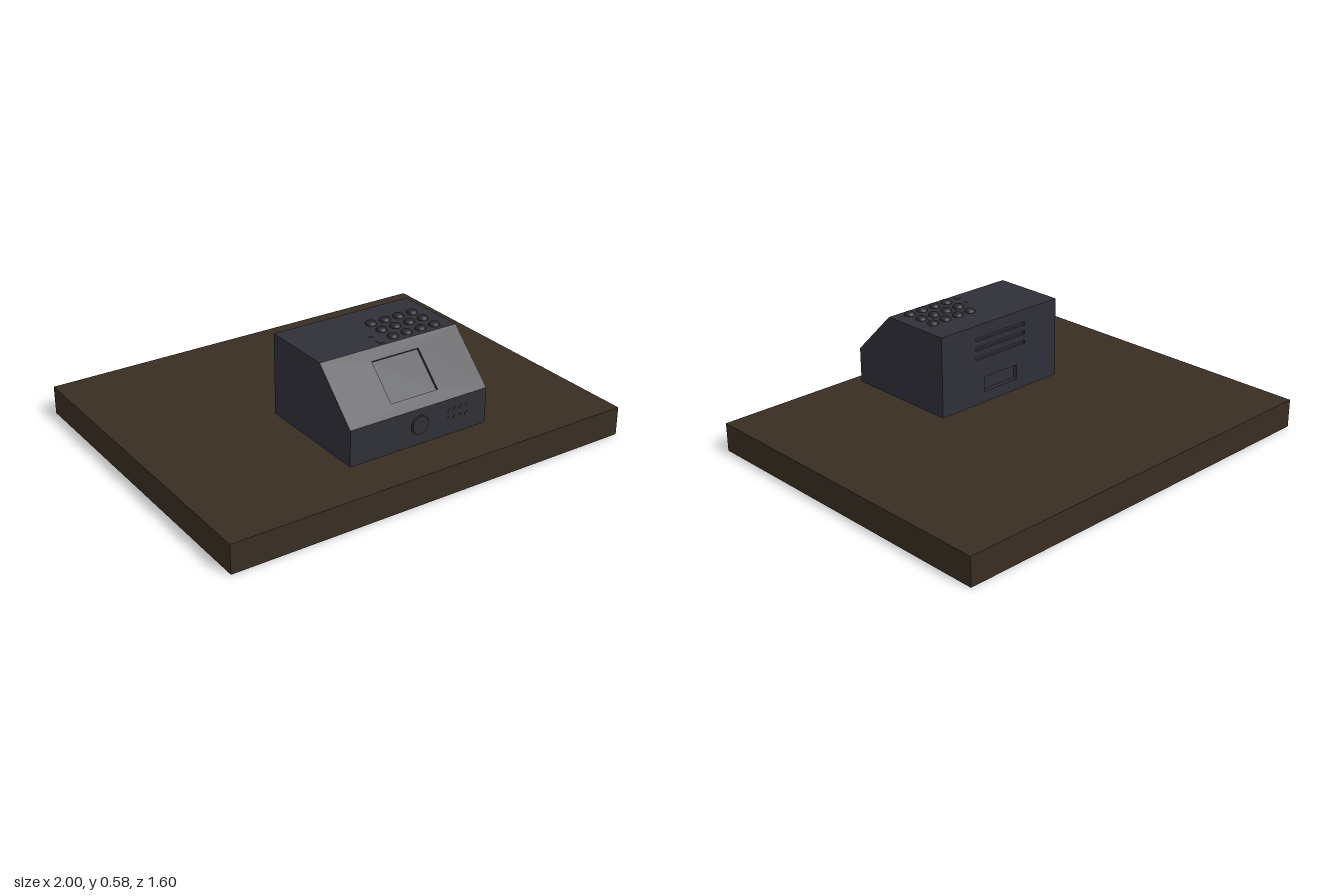
import * as THREE from 'three';

const mat = (name, color, side = THREE.FrontSide) => {
  const m = new THREE.MeshStandardMaterial({ color, side });
  m.name = name;
  return m;
};

export function createModel() {
  const wood = mat('dark wood', 0x382d23);
  const shell = mat('charcoal shell', 0x2f2f38);
  const glass = mat('dark glass', 0x2c2d33);
  const rubber = mat('black rubber', 0x26282b);

  const root = new THREE.Group();
  root.name = 'deskUnit';
  const add = (name, geo, material, parent, x = 0, y = 0, z = 0) => {
    const m = new THREE.Mesh(geo, material);
    m.name = name;
    m.position.set(x, y, z);
    parent.add(m);
    return m;
  };

  // Inward-facing box without its front side
  const pocketGeometry = (w, h, d) => {
    const g = new THREE.BoxGeometry(w, h, d);
    const idx = Array.from(g.index.array).filter((_, i) => i < 24 || i >= 30).reverse();
    g.setIndex(idx);
    g.clearGroups();
    const out = g.toNonIndexed();
    out.computeVertexNormals();
    return out;
  };

  // Flat panel facing +z, with rectangular pockets {x, y, w, h, d} and an optional round hole
  const panel = (name, w, h, pockets = [], hole = null) => {
    const group = new THREE.Group();
    group.name = name;
    const rect = (path, x, y, a, b) => path.moveTo(x - a / 2, y - b / 2).lineTo(x + a / 2, y - b / 2)
      .lineTo(x + a / 2, y + b / 2).lineTo(x - a / 2, y + b / 2).closePath();
    const s = rect(new THREE.Shape(), 0, 0, w, h);
    for (const p of pockets) {
      s.holes.push(rect(new THREE.Path(), p.x, p.y, p.w, p.h));
      add(p.name, pocketGeometry(p.w, p.h, p.d), p.material || shell, group, p.x, p.y, -p.d / 2);
    }
    if (hole) s.holes.push(new THREE.Path().absarc(hole.x, hole.y, hole.r, 0, Math.PI * 2, true));
    add(name + 'Face', new THREE.ShapeGeometry(s, 24), shell, group);
    return group;
  };
  const place = (group, x, y, z, rx = 0, ry = 0) => {
    group.position.set(x, y, z);
    group.rotation.set(rx, ry, 0);
    body.add(group);
  };

  // Table slab
  add('tableSlab', new THREE.BoxGeometry(2, 0.135, 1.6), wood, root, 0, 0.0675, 0);

  // Housing dimensions
  const W = 0.7, bottom = 0.187, knee = 0.353, top = 0.567;
  const back = 0.08, shoulder = 0.43, front = 0.65;
  const body = new THREE.Group();
  body.name = 'housing';
  root.add(body);

  // Side panels
  const profile = new THREE.Shape([
    [back, bottom], [front, bottom], [front, knee], [shoulder, top], [back, top],
  ].map(([z, y]) => new THREE.Vector2(-z, y)));
  add('leftSide', new THREE.ShapeGeometry(profile), shell, body, W / 2).rotation.y = Math.PI / 2;
  const mirrored = new THREE.Shape(profile.getPoints().map((p) => new THREE.Vector2(-p.x, p.y)));
  add('rightSide', new THREE.ShapeGeometry(mirrored), shell, body, -W / 2).rotation.y = -Math.PI / 2;

  // Front panel with a round opening for the dial
  const frontY = (bottom + knee) / 2, dialY = 0.278;
  place(panel('frontPanel', W, knee - bottom, [], { x: 0, y: dialY - frontY, r: 0.044 }), 0, frontY, front);

  // Sloped panel with the recessed screen
  const rise = top - knee, run = front - shoulder, slope = Math.hypot(rise, run);
  place(panel('slopedPanel', W, slope, [
    { name: 'screen', x: 0, y: 0, w: 0.24, h: 0.195, d: 0.012, material: glass },
  ]), 0, (knee + top) / 2, (front + shoulder) / 2, -Math.atan2(run, rise));

  // Top, bottom and back panels; the back has vents and a connector bay
  place(panel('topPanel', W, shoulder - back), 0, top, (back + shoulder) / 2, -Math.PI / 2);
  place(panel('bottomPanel', W, front - back), 0, bottom, (back + front) / 2, Math.PI / 2);
  const backY = (bottom + top) / 2;
  const pockets = [{ name: 'connectorBay', x: 0, y: 0.275 - backY, w: 0.2, h: 0.07, d: 0.02 }];
  for (const y of [0.41, 0.455, 0.5]) {
    pockets.push({ name: 'vent', x: 0, y: y - backY, w: 0.3, h: 0.016, d: 0.012 });
  }
  place(panel('backPanel', W, top - bottom, pockets), 0, backY, back, 0, Math.PI);

  // Dial
  const dialGeo = new THREE.CylinderGeometry(0.0425, 0.0425, 0.037, 40);
  dialGeo.rotateX(Math.PI / 2);
  dialGeo.scale(0.92, 1, 1);
  add('dial', dialGeo, shell, body, 0, dialY, front - 0.0115);

  // Small front buttons
  const dotGeo = new THREE.CylinderGeometry(0.01, 0.01, 0.004, 16);
  const frontDotGeo = dotGeo.clone().rotateX(Math.PI / 2);
  for (const y of [0.262, 0.3]) {
    for (let i = 0; i < 4; i++) add('frontButton', frontDotGeo, shell, body, 0.155 + i * 0.0305, y, front);
  }

  // Keypad of low domed buttons
  const keyGeo = new THREE.LatheGeometry([
    [0.025, 0], [0.025, 0.004], [0.022, 0.008], [0.021, 0.012], [0.012, 0.0145], [0, 0.015],
  ].map(([r, y]) => new THREE.Vector2(r, y)), 24);
  for (const z of [0.23, 0.307, 0.387]) {
    for (let i = 0; i < 4; i++) add('key', keyGeo, rubber, body, 0.047 + i * 0.073, top, z);
  }

  // Indicator and small switch beside the keypad
  add('indicator', dotGeo, shell, body, -0.028, top, 0.335);
  add('smallSwitch', new THREE.BoxGeometry(0.024, 0.004, 0.03), shell, body, -0.028, top, 0.4);

  return root;
}
